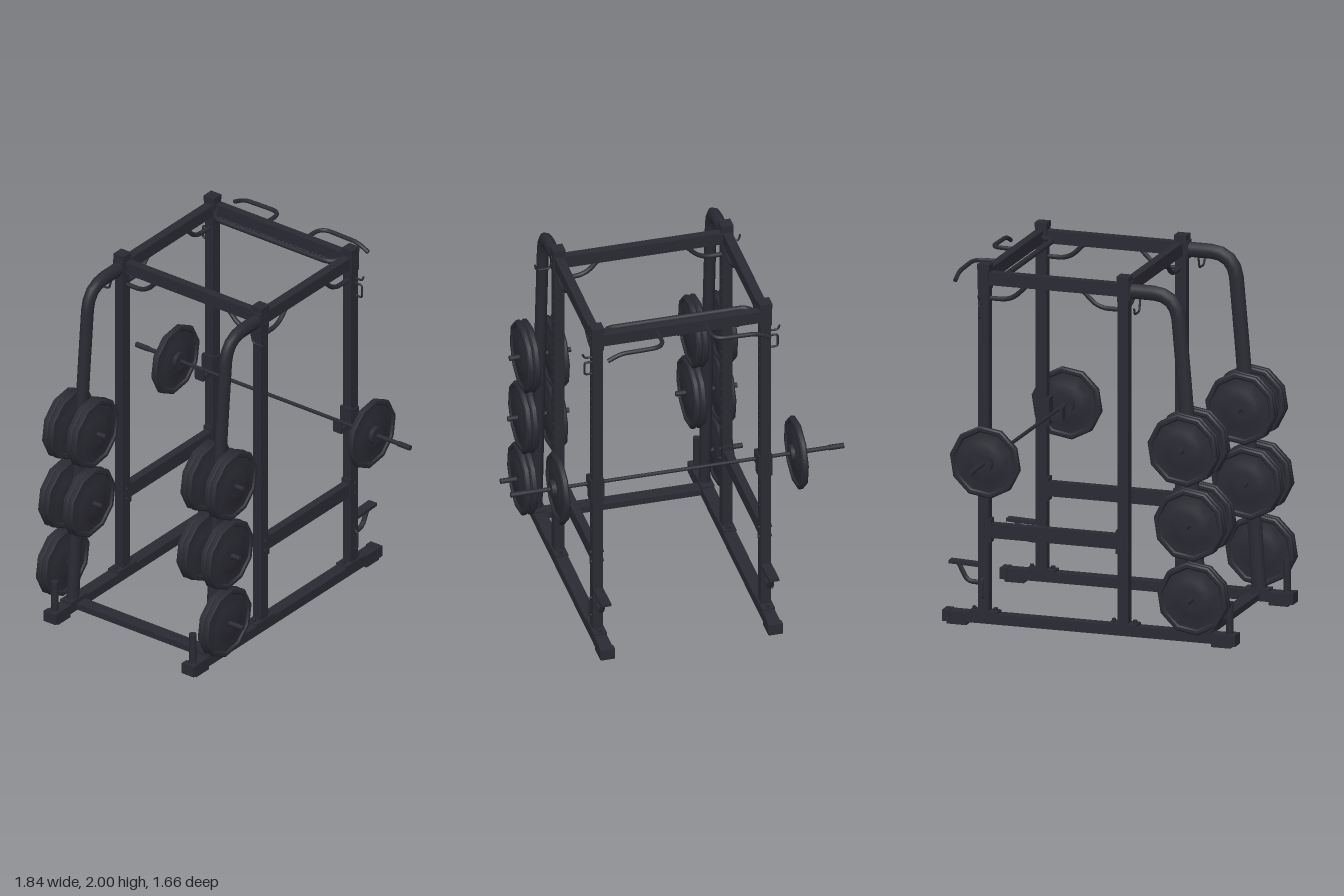
import * as THREE from 'three';
import { toCreasedNormals } from 'three/addons/utils/BufferGeometryUtils.js';

const steel = new THREE.MeshStandardMaterial({ color: 0x2a2a33 });
steel.name = 'dark steel';

const SIDE = 0.465, FRONT = 0.19, REAR = -0.6;

export function createModel() {
  const root = new THREE.Group();
  root.name = 'powerRack';

  const add = (name, geo, x = 0, y = 0, z = 0) => {
    const m = new THREE.Mesh(geo, steel);
    m.name = name;
    m.position.set(x, y, z);
    root.add(m);
    return m;
  };
  const box = (name, w, h, d, x, y, z) => add(name, new THREE.BoxGeometry(w, h, d), x, y, z);
  // cylinder lying along x between two positions
  const rodX = (name, r, x0, x1, y, z, n = 12) =>
    add(name, new THREE.CylinderGeometry(r, r, Math.abs(x1 - x0), n).rotateZ(Math.PI / 2), (x0 + x1) / 2, y, z);
  // bent pipe with rounded corners and closed ends
  const pipe = (name, pts, r, bend = 0.04, sides = 8) => {
    const v = pts.map(p => new THREE.Vector3(...p));
    const path = new THREE.CurvePath();
    let from = v[0];
    for (let i = 1; i < v.length - 1; i++) {
      const a = v[i - 1].clone().sub(v[i]), b = v[i + 1].clone().sub(v[i]);
      const k = Math.min(bend, a.length() * 0.49, b.length() * 0.49);
      const p = v[i].clone().addScaledVector(a.normalize(), k);
      const q = v[i].clone().addScaledVector(b.normalize(), k);
      path.add(new THREE.LineCurve3(from, p));
      path.add(new THREE.QuadraticBezierCurve3(p, v[i], q));
      from = q;
    }
    path.add(new THREE.LineCurve3(from, v[v.length - 1]));
    const m = add(name, new THREE.TubeGeometry(path, 40, r, sides));
    [[0, -1], [1, 1]].forEach(([t, d]) => {
      const cap = new THREE.Mesh(new THREE.CircleGeometry(r, sides), steel);
      cap.name = name + 'End';
      cap.position.copy(path.getPointAt(t));
      cap.lookAt(cap.position.clone().addScaledVector(path.getTangentAt(t), d));
      root.add(cap);
    });
    return m;
  };

  // ten-sided weight plate, axis along x
  const half = [[0.2, 0.01], [0.192, 0.0175], [0.176, 0.0175], [0.168, 0.008], [0.105, 0.011],
    [0.095, 0.015], [0.05, 0.0175], [0, 0.0175]];
  const profile = [...half.map(([r, h]) => [r, -h]).reverse(), ...half].map(p => new THREE.Vector2(...p));
  const plateGeo = toCreasedNormals(
    new THREE.LatheGeometry(profile, 10).rotateZ(Math.PI / 2).rotateX(Math.PI / 20), 0.65);
  const plate = (x, y, z) => add('weightPlate', plateGeo, x, y, z);

  // cross members
  for (const z of [FRONT - 0.01, REAR - 0.01])
    box('topCrossbeam', 0.9, 0.07, 0.045, 0, 1.922, z);
  box('baseCrossbar', 0.9, 0.035, 0.075, 0, 0.042, 0.602);
  pipe('pullUpBar', [[-0.43, 1.92, -0.6], [-0.39, 1.92, -0.515], [0.39, 1.92, -0.515], [0.43, 1.92, -0.6]], 0.015);

  // barbell
  const barY = 0.955, barZ = -0.53;
  rodX('barbellShaft', 0.01, -0.66, 0.66, barY, barZ);

  for (const s of [-1, 1]) {
    const x = s * SIDE;

    // base rail with end caps and feet
    box('baseRail', 0.07, 0.055, 1.62, x, 0.045, 0);
    for (const z of [-0.81, 0.81]) box('railEndCap', 0.08, 0.062, 0.04, x, 0.045, z);
    for (const z of [-0.75, 0.745]) box('foot', 0.07, 0.02, 0.11, x, 0.01, z);

    // uprights with base plates, top brackets and bolts
    for (const z of [FRONT, REAR]) {
      box('upright', 0.055, 1.92, 0.06, x, 1.03, z);
      box('uprightCap', 0.068, 0.03, 0.068, x, 1.985, z);
      box('topBracket', 0.066, 0.12, 0.064, x, 1.92, z);
      box('basePlate', 0.072, 0.012, 0.16, x, 0.079, z);
      for (const d of [-0.06, 0.06])
        add('baseBolt', new THREE.CylinderGeometry(0.012, 0.012, 0.02, 6), x, 0.092, z + d);
      for (const y of [0.5, 0.56, 1.9, 1.945])
        rodX('bolt', 0.009, x - 0.038, x + 0.038, y, z, 6);
      // adjustment holes as thin discs on the faces
      for (let y = 0.7; y < 1.75; y += 0.06)
        rodX('adjustmentHole', 0.011, x - 0.029, x + 0.029, y, z, 8);
    }

    // side rails
    const mid = (FRONT + REAR) / 2, span = FRONT - REAR;
    box('topSideRail', 0.05, 0.07, span, x, 1.922, mid);
    box('lowerSideRail', 0.045, 0.08, span, x, 0.53, mid);
    for (const z of [FRONT - 0.036, REAR + 0.036])
      box('railFlange', 0.055, 0.13, 0.012, x, 0.53, z);

    // curved corner braces under the top frame
    pipe('frontBrace', [[x - s * 0.02, 1.81, 0.18], [s * 0.32, 1.81, 0.18], [s * 0.235, 1.9, 0.18]], 0.013, 0.06);
    for (const [z, d] of [[FRONT, -1], [REAR, 1]])
      pipe('sideBrace', [[x, 1.81, z], [x, 1.81, z + d * 0.15], [x, 1.9, z + d * 0.24]], 0.013, 0.06);

    // rear pull-up handles
    pipe('pullUpHandle', [[s * 0.135, 1.925, -0.61], [s * 0.135, 1.925, -0.775],
      [s * 0.38, 1.92, -0.775], [s * 0.45, 1.885, -0.775]], 0.012, 0.07);

    // curved storage arm
    const arm = pipe('storageArm', [[0, 1.918, 0.2], [0, 1.918, 0.485], [0, 1.3, 0.54], [0, 0.07, 0.625]],
      0.042, 0.2, 12);
    arm.scale.x = 0.75;
    arm.position.x = x;
    root.children.filter(c => c.name === 'storageArmEnd' && c.position.x === 0).forEach(c => {
      c.position.x = x;
      c.scale.x = 0.75;
    });
    box('armFlange', 0.065, 0.1, 0.012, x, 1.918, 0.226);
    box('armFoot', 0.072, 0.012, 0.14, x, 0.079, 0.62);

    // storage pegs and plates
    for (const [y, z, inner] of [[1.09, 0.555, true], [0.68, 0.59, true], [0.275, 0.61, false]]) {
      rodX('storagePeg', 0.014, s * (inner ? 0.295 : 0.45), s * (inner ? 0.635 : 0.67), y, z);
      for (const px of inner ? [0.368, 0.403, 0.527, 0.563] : [0.527, 0.563]) plate(s * px, y, z);
    }
    add('frontPost', new THREE.CylinderGeometry(0.02, 0.02, 0.18, 12), x, 0.16, 0.785);

    // accessory hooks and loops
    pipe('accessoryHook', [[x, 1.9, 0.28], [x + s * 0.02, 1.815, 0.28], [s * 0.56, 1.815, 0.28],
      [s * 0.568, 1.85, 0.28]], 0.006, 0.02);
    pipe('upperLoop', [[x, 1.785, REAR - 0.01], [s * 0.535, 1.785, REAR - 0.01],
      [s * 0.535, 1.71, REAR - 0.01], [x, 1.71, REAR - 0.01]], 0.006, 0.015);
    pipe('rearHook', [[x, 1.815, REAR - 0.01], [s * 0.535, 1.815, REAR - 0.01], [s * 0.545, 1.84, REAR - 0.01]], 0.006, 0.015);
    pipe('lowerLoop', [[x, 0.27, REAR], [s * 0.51, 0.27, REAR], [s * 0.51, 0.16, REAR], [x, 0.16, REAR]], 0.006, 0.015);

    // low rear step on a curved brace
    box('rearStep', 0.055, 0.018, 0.17, x, 0.337, -0.713).rotation.x = 0.04;
    pipe('stepBrace', [[x, 0.235, REAR - 0.02], [x, 0.235, -0.7], [x, 0.335, -0.75]], 0.014, 0.05);

    // bar cups
    box('cupBack', 0.07, 0.15, 0.018, x, 0.96, -0.562);
    box('cupShelf', 0.055, 0.03, 0.085, x, 0.928, -0.525);
    box('cupLip', 0.055, 0.06, 0.015, x, 0.955, -0.488);
    for (const d of [-1, 1]) box('cupCheek', 0.008, 0.13, 0.07, x + d * 0.034, 0.96, -0.59);

    // barbell sleeve, collar and plate
    rodX('barbellSleeve', 0.012, s * 0.62, s * 0.88, barY, barZ);
    rodX('sleeveEnd', 0.015, s * 0.84, s * 0.922, barY, barZ);
    rodX('collar', 0.05, s * 0.622, s * 0.702, barY, barZ, 16);
    plate(s * 0.66, barY, barZ);
  }
  return root;
}
